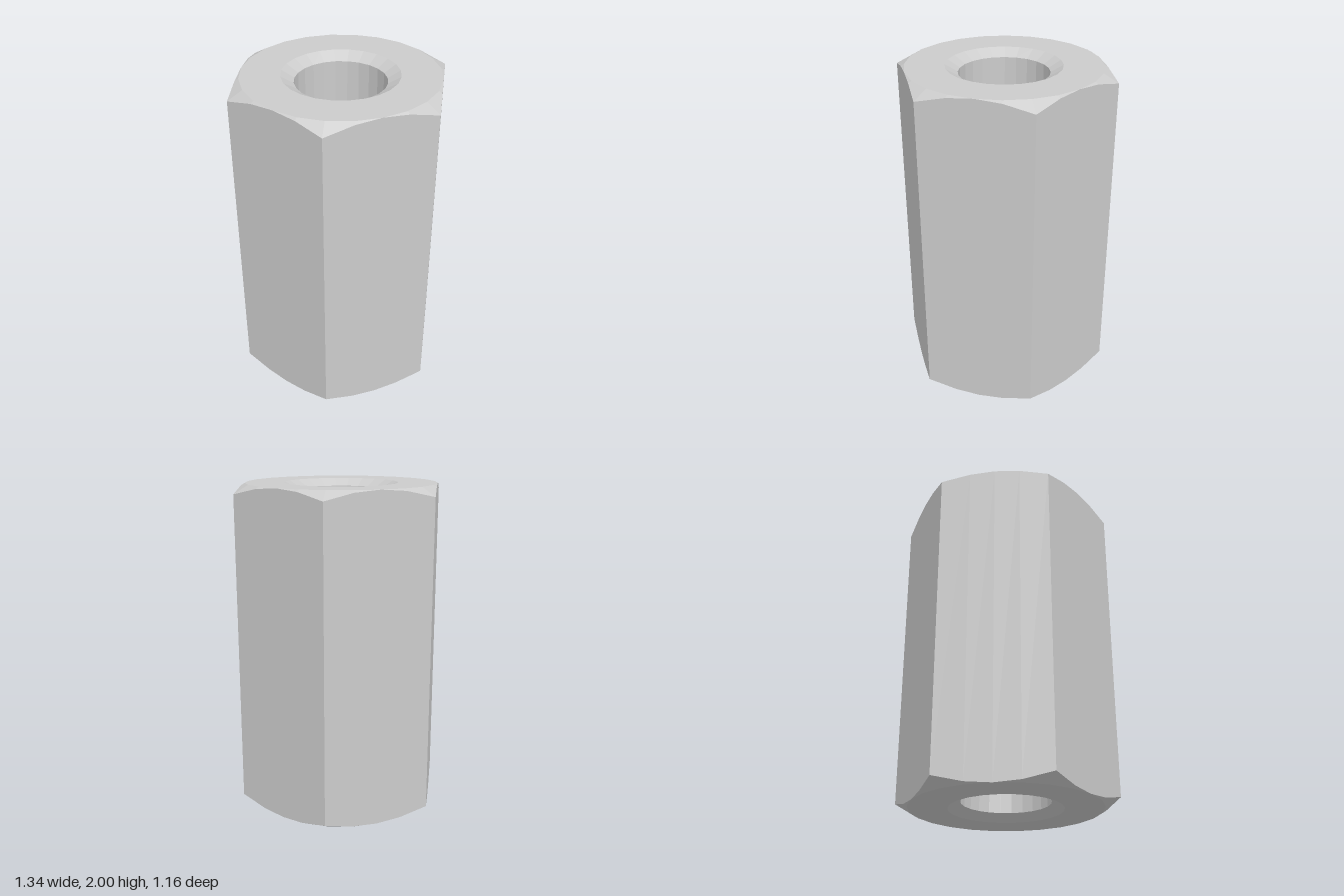
import * as THREE from 'three';

const SEGMENTS = 24;
const HEIGHT = 2;
const APOTHEM = 0.58;       // centre to flat of the hexagon
const BORE = 0.27;
const SINK = 0.345;         // mouth radius of the countersink
const SLOPE = Math.tan(Math.PI / 6);

// Distance from the axis to the hexagon wall; corners lie on +x and -x
function hexRadius(angle) {
  const third = Math.PI / 3;
  return APOTHEM / Math.cos((angle % third) - third / 2);
}

// Closed section at one angle: bottom face, wall, top face, bore
function section(angle) {
  const wall = hexRadius(angle);
  const drop = (wall - APOTHEM) * SLOPE;
  const sinkDepth = (SINK - BORE) * SLOPE;
  return [
    [BORE, sinkDepth], [SINK, 0], [APOTHEM, 0], [wall, drop],
    [wall, HEIGHT - drop], [APOTHEM, HEIGHT], [SINK, HEIGHT], [BORE, HEIGHT - sinkDepth],
  ].map(([r, y]) => new THREE.Vector3(r * Math.cos(angle), y, -r * Math.sin(angle)));
}

function nutGeometry() {
  const rings = [];
  for (let i = 0; i < SEGMENTS; i++) rings.push(section((i / SEGMENTS) * Math.PI * 2));

  const points = [];
  // Skip triangles that vanish where the chamfer meets the middle of a flat
  const addTriangle = (a, b, c) => {
    if (new THREE.Triangle(a, b, c).getArea() > 1e-6) points.push(a, b, c);
  };
  rings.forEach((ring, i) => {
    const next = rings[(i + 1) % SEGMENTS];
    ring.forEach((p, j) => {
      const k = (j + 1) % ring.length;
      addTriangle(p, next[j], next[k]);
      addTriangle(p, next[k], ring[k]);
    });
  });

  const geometry = new THREE.BufferGeometry().setFromPoints(points);
  geometry.computeVertexNormals();
  return geometry;
}

export function createModel() {
  const group = new THREE.Group();
  group.name = 'couplingNut';

  // Hexagonal body with chamfered ends and a countersunk through bore
  const material = new THREE.MeshStandardMaterial({ color: 0xcccccc, flatShading: true });
  const body = new THREE.Mesh(nutGeometry(), material);
  body.name = 'hexBody';
  group.add(body);

  return group;
}
